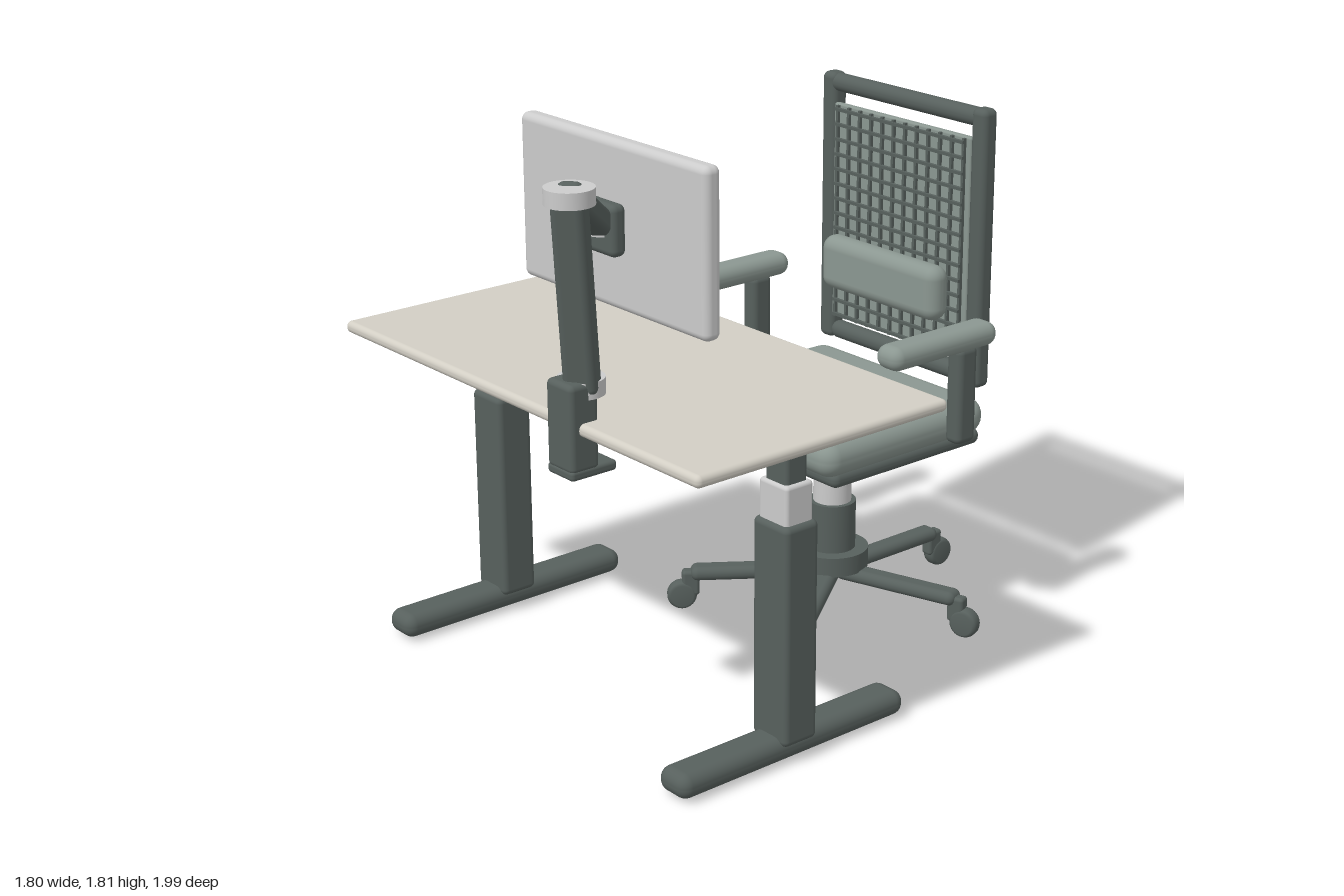
import * as THREE from 'three';
import { RoundedBoxGeometry } from 'three/addons/geometries/RoundedBoxGeometry.js';

const mat = (color) => new THREE.MeshStandardMaterial({ color });
const dark = mat(0x57605d), pad = mat(0x8b9791), light = mat(0xcccccc);
const wood = mat(0xd2cec4), black = mat(0x27302d);

function add(parent, name, geometry, material, x = 0, y = 0, z = 0) {
  const mesh = new THREE.Mesh(geometry, material);
  mesh.name = name;
  mesh.position.set(x, y, z);
  parent.add(mesh);
  return mesh;
}

// Rounded box given by its extents [min, max] on each axis
function box(parent, name, material, [x0, x1], [y0, y1], [z0, z1], radius = 0.02) {
  const w = x1 - x0, h = y1 - y0, d = z1 - z0;
  const r = Math.min(radius, w / 2.05, h / 2.05, d / 2.05);
  return add(parent, name, new RoundedBoxGeometry(w, h, d, 4, r), material,
    (x0 + x1) / 2, (y0 + y1) / 2, (z0 + z1) / 2);
}

// Upright cylinder from y0 to y1
function post(parent, name, material, r, y0, y1, x = 0, z = 0) {
  return add(parent, name, new THREE.CylinderGeometry(r, r, y1 - y0, 40), material, x, (y0 + y1) / 2, z);
}

// Rounded bar running between two points
function bar(parent, name, material, a, b, width, depth) {
  const from = new THREE.Vector3(...a), to = new THREE.Vector3(...b);
  const mesh = add(parent, name,
    new RoundedBoxGeometry(width, depth, from.distanceTo(to), 4, 0.025), material);
  mesh.position.copy(from).lerp(to, 0.5);
  mesh.lookAt(to);
  return mesh;
}

function createDesk() {
  const desk = new THREE.Group();
  desk.name = 'desk';
  box(desk, 'desktop', wood, [-0.9, 0.9], [1.045, 1.085], [-0.067, 0.903], 0.018);
  box(desk, 'crossBeam', dark, [-0.72, 0.72], [0.905, 1.015], [0.345, 0.405], 0.015);
  for (const s of [-1, 1]) {
    const leg = new THREE.Group();
    leg.name = s > 0 ? 'leftLeg' : 'rightLeg';
    leg.position.set(s * 0.722, 0, 0);
    desk.add(leg);
    box(leg, 'foot', dark, [-0.065, 0.065], [0.01, 0.092], [-0.03, 0.87], 0.038);
    box(leg, 'outerColumn', dark, [-0.078, 0.078], [0.065, 0.782], [0.355, 0.487]);
    box(leg, 'innerColumn', light, [-0.063, 0.063], [0.75, 0.905], [0.368, 0.474], 0.012);
    box(leg, 'topColumn', dark, [-0.049, 0.049], [0.88, 1.027], [0.378, 0.464], 0.015);
    box(leg, 'topMount', dark, [-0.04, 0.04], [1.0, 1.05], [0.385, 0.455], 0.01);
  }
  return desk;
}

function createMonitor() {
  const monitor = new THREE.Group();
  monitor.name = 'monitor';
  box(monitor, 'monitorBody', light, [-0.458, 0.456], [1.265, 1.8], [0.438, 0.502], 0.025);
  box(monitor, 'screen', black, [-0.428, 0.426], [1.292, 1.773], [0.43, 0.45], 0.004);
  box(monitor, 'mountPlate', dark, [-0.085, 0.085], [1.45, 1.615], [0.5, 0.557], 0.022);
  post(monitor, 'wristPivot', light, 0.06, 1.512, 1.553, -0.005, 0.525);

  // Two-part arm clamped to the desk edge
  box(monitor, 'clampPost', dark, [0.238, 0.362], [0.93, 1.205], [0.828, 0.932], 0.018);
  box(monitor, 'clampPlate', dark, [0.238, 0.362], [0.91, 0.943], [0.765, 0.932], 0.012);
  post(monitor, 'basePivot', light, 0.072, 1.152, 1.203, 0.295, 0.842);
  bar(monitor, 'lowerArm', dark, [0.315, 1.16, 0.852], [0.362, 1.78, 0.922], 0.105, 0.075);
  post(monitor, 'elbowPivot', light, 0.075, 1.75, 1.8, 0.363, 0.92);
  bar(monitor, 'upperArm', dark, [0.365, 1.78, 0.925], [0.0, 1.54, 0.535], 0.08, 0.08);
  return monitor;
}

function createChairBase(chair) {
  const base = new THREE.Group();
  base.name = 'chairBase';
  base.position.z = -0.43;
  chair.add(base);
  post(base, 'hub', dark, 0.126, 0.15, 0.218);
  post(base, 'lowerColumn', dark, 0.081, 0.2, 0.388);
  post(base, 'gasSleeve', light, 0.065, 0.38, 0.507);
  post(base, 'gasPiston', dark, 0.048, 0.5, 0.64);
  for (let i = 0; i < 5; i++) {
    const spoke = new THREE.Group();
    spoke.name = 'spoke' + (i + 1);
    spoke.rotation.y = Math.PI + i * Math.PI * 0.4;
    base.add(spoke);
    box(spoke, 'spokeArm', dark, [-0.038, 0.038], [0.107, 0.156], [0.03, 0.485], 0.024);
    box(spoke, 'casterFork', dark, [-0.022, 0.022], [0.05, 0.14], [0.455, 0.515], 0.012);
    // Wheel with rounded rims, rolling outwards
    const rim = [[0, -0.026], [0.038, -0.026], [0.047, -0.02], [0.051, -0.01],
      [0.051, 0.01], [0.047, 0.02], [0.038, 0.026], [0, 0.026]];
    const wheel = add(spoke, 'casterWheel',
      new THREE.LatheGeometry(rim.map((p) => new THREE.Vector2(...p)), 32), dark, 0, 0.051, 0.515);
    wheel.rotation.z = Math.PI / 2;
  }
}

function createBackrest(chair) {
  const back = new THREE.Group();
  back.name = 'backrest';
  chair.add(back);
  for (const s of [-1, 1]) {
    const x = s * 0.355;
    box(back, 'sideRail', dark, [x - 0.033, x + 0.033], [0.82, 1.765], [-0.777, -0.711], 0.022);
  }
  box(back, 'topRail', dark, [-0.36, 0.36], [1.7, 1.762], [-0.775, -0.713], 0.03);
  box(back, 'bottomRail', dark, [-0.34, 0.34], [0.82, 0.882], [-0.775, -0.713], 0.03);
  box(back, 'backPanel', pad, [-0.325, 0.325], [0.905, 1.665], [-0.74, -0.715], 0.008);

  // Woven grid on the front of the panel
  const strand = (name, w, h, x, y, z) =>
    add(back, name, new THREE.BoxGeometry(w, h, 0.012), dark, x, y, z);
  for (let i = 0; i < 12; i++) strand('verticalStrand', 0.01, 0.75, -0.3 + i * 0.6 / 11, 1.285, -0.71);
  for (let i = 0; i < 15; i++) strand('crossStrand', 0.61, 0.01, 0, 0.92 + i * 0.052, -0.703);
  box(back, 'lumbarCushion', pad, [-0.28, 0.275], [1.04, 1.228], [-0.7, -0.608], 0.044);
}

function createChair() {
  const chair = new THREE.Group();
  chair.name = 'chair';
  createChairBase(chair);
  box(chair, 'seatPan', dark, [-0.375, 0.375], [0.618, 0.672], [-0.757, -0.095], 0.025);
  box(chair, 'seatCushion', pad, [-0.405, 0.405], [0.663, 0.788], [-0.757, -0.037], 0.058);
  createBackrest(chair);
  for (const s of [-1, 1]) {
    const arm = new THREE.Group();
    arm.name = s > 0 ? 'leftArmrest' : 'rightArmrest';
    arm.position.x = s * 0.503;
    chair.add(arm);
    box(arm, 'armPost', dark, [-0.033, 0.033], [0.72, 1.05], [-0.567, -0.482], 0.022);
    box(arm, 'armPad', pad, [-0.054, 0.054], [1.038, 1.118], [-0.64, -0.178], 0.038);
  }
  return chair;
}

export function createModel() {
  const model = new THREE.Group();
  model.name = 'workstation';
  model.add(createDesk(), createMonitor(), createChair());
  return model;
}
